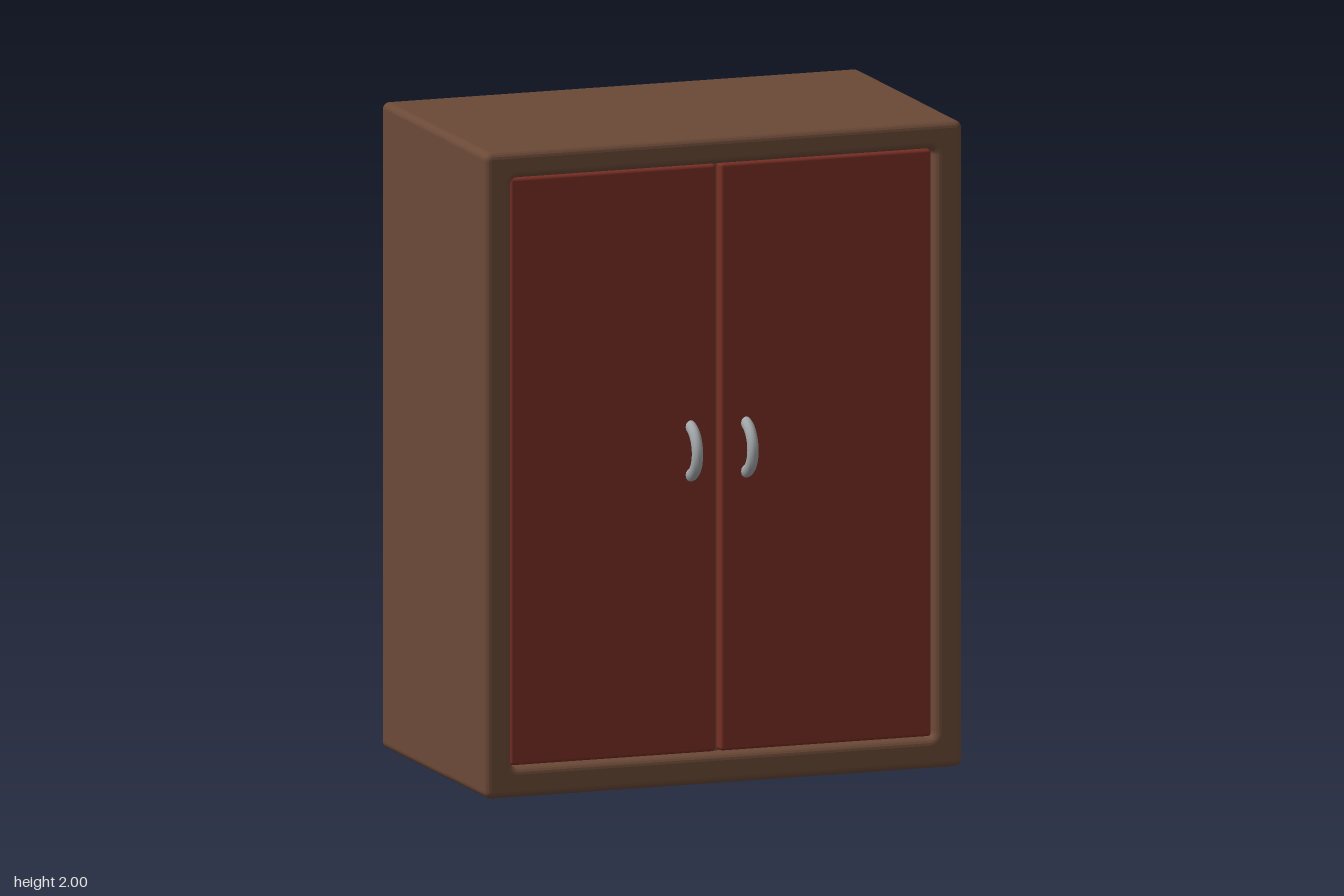
import * as THREE from 'three';
import { RoundedBoxGeometry } from 'three/addons/geometries/RoundedBoxGeometry.js';

const wood = new THREE.MeshStandardMaterial({ color: 0x6b4937 });
wood.name = 'brown wood';
const red = new THREE.MeshStandardMaterial({ color: 0x782e24 });
red.name = 'dark red paint';
const metal = new THREE.MeshStandardMaterial({ color: 0xa3a7a9 });
metal.name = 'grey metal';

// Rounded rectangle outline, used for the frame and its opening
function roundedRect(path, x0, y0, x1, y1, r) {
  path.moveTo(x0 + r, y0);
  path.lineTo(x1 - r, y0);
  path.absarc(x1 - r, y0 + r, r, -Math.PI / 2, 0);
  path.lineTo(x1, y1 - r);
  path.absarc(x1 - r, y1 - r, r, 0, Math.PI / 2);
  path.lineTo(x0 + r, y1);
  path.absarc(x0 + r, y1 - r, r, Math.PI / 2, Math.PI);
  path.lineTo(x0, y0 + r);
  path.absarc(x0 + r, y0 + r, r, Math.PI, Math.PI * 1.5);
  return path;
}

export function createModel() {
  const model = new THREE.Group();
  model.name = 'cupboard';

  function add(name, geometry, material, x, y, z) {
    const mesh = new THREE.Mesh(geometry, material);
    mesh.name = name;
    mesh.position.set(x, y, z);
    model.add(mesh);
    return mesh;
  }

  // Closed rear carcass with soft edges
  add('carcass', new RoundedBoxGeometry(1.55, 2, 0.58, 4, 0.022), wood, 0, 1, -0.19);

  // Front frame around the door opening
  const bevel = 0.02;
  const outline = roundedRect(new THREE.Shape(), -0.775, 0, 0.775, 2, 0.024);
  outline.holes.push(roundedRect(new THREE.Path(), -0.69, 0.092, 0.685, 1.918, 0.022));
  const frame = new THREE.ExtrudeGeometry(outline, {
    depth: 0.49, bevelThickness: bevel, bevelSize: bevel, bevelOffset: -bevel,
    bevelSegments: 4, curveSegments: 5,
  });
  add('frame', frame, wood, 0, 0, -0.08);

  // Inner panel seen through the gap between the doors
  add('innerPanel', new THREE.BoxGeometry(1.42, 1.87, 0.3), wood, 0, 1.005, 0.22);

  // Doors, slightly recessed, each with a curved handle
  const doors = [
    ['right', -0.686, -0.018, -0.1],
    ['left', -0.003, 0.681, 0.08],
  ];
  for (const [side, x0, x1, handleX] of doors) {
    add(side + 'Door', new RoundedBoxGeometry(x1 - x0, 1.818, 0.06, 3, 0.01), red,
      (x0 + x1) / 2, 1.005, 0.377);

    const ring = new THREE.TorusGeometry(0.077, 0.02, 12, 28, Math.PI);
    ring.rotateZ(-Math.PI / 2);
    ring.rotateY(-Math.PI / 2);
    ring.scale(0.85, 1, 1);
    add(side + 'Handle', ring, metal, handleX, 1.032, 0.388);
  }

  return model;
}
